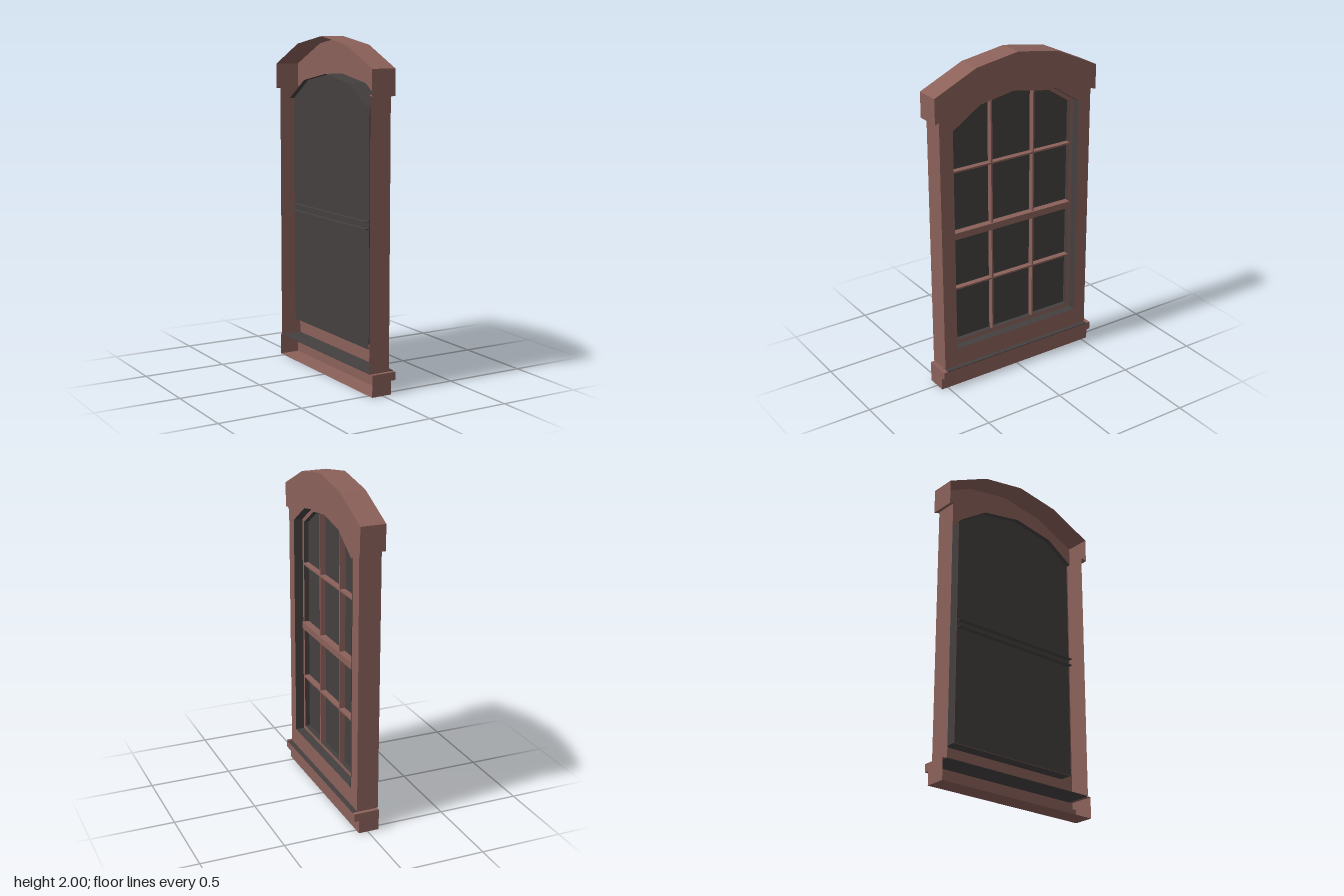
import * as THREE from 'three';

const brown = new THREE.MeshStandardMaterial({ color: 0x8b615a, side: THREE.DoubleSide, flatShading: true });
brown.name = 'brown painted wood';
const dark = new THREE.MeshStandardMaterial({ color: 0x454040, side: THREE.DoubleSide, flatShading: true });
dark.name = 'dark grey glass';

// Closed symmetric outline from the points of its +u half, listed bottom to top
const mirror = (half) => [
  ...half,
  ...half.filter(([u]) => u > 0).reverse().map(([u, y]) => [-u, y]),
];
const toVectors = (pts) => pts.map(([u, y]) => new THREE.Vector2(u, y));

export function createModel() {
  const model = new THREE.Group();

  const add = (name, geometry, material) => {
    const mesh = new THREE.Mesh(geometry, material);
    mesh.name = name;
    model.add(mesh);
    return mesh;
  };

  // Flat sheet facing +x, with optional hole
  const plate = (name, pts, x, material, hole) => {
    const shape = new THREE.Shape(toVectors(pts));
    if (hole) shape.holes.push(new THREE.Path(toVectors(hole)));
    add(name, new THREE.ShapeGeometry(shape).rotateY(Math.PI / 2).translate(x, 0, 0), material);
  };

  // Open strip following a (z, y) outline between two depths
  const strip = (name, pts, x0, x1, material) => {
    const pos = [];
    for (let i = 0; i + 1 < pts.length; i++) {
      const [z0, y0] = pts[i];
      const [z1, y1] = pts[i + 1];
      pos.push(x0, y0, z0, x1, y0, z0, x1, y1, z1, x0, y0, z0, x1, y1, z1, x0, y1, z1);
    }
    const g = new THREE.BufferGeometry();
    g.setAttribute('position', new THREE.Float32BufferAttribute(pos, 3));
    g.computeVertexNormals();
    add(name, g, material);
  };

  const bar = (name, x0, x1, y0, y1, z0, z1, material) => {
    const g = new THREE.BoxGeometry(x1 - x0, y1 - y0, z1 - z0);
    add(name, g.translate((x0 + x1) / 2, (y0 + y1) / 2, (z0 + z1) / 2), material);
  };

  const opening = mirror([[0.43, 0.245], [0.43, 1.625], [0.255, 1.74], [0, 1.785]]);
  const inner = mirror([[0.408, 0.268], [0.408, 1.61], [0.255, 1.71], [0, 1.755]]);

  // Casing: hollow shell, open at the back
  const casing = mirror([[0.515, 0.13], [0.515, 1.69], [0.27, 1.85], [0, 1.9]]);
  plate('casingFront', casing, 0.057, brown, opening);
  for (const s of [-1, 1]) {
    strip('casingSide', [[s * 0.515, 0.13], [s * 0.515, 1.69]], -0.075, 0.057, brown);
  }

  // Arched header
  const outerArch = [[0.545, 1.83], [0.275, 1.955], [0, 2], [-0.275, 1.955], [-0.545, 1.83]];
  const lowerArch = [[-0.545, 1.68], [-0.515, 1.69], [-0.43, 1.625], [-0.255, 1.74], [0, 1.785],
    [0.255, 1.74], [0.43, 1.625], [0.515, 1.69], [0.545, 1.68]];
  plate('headerFront', [...outerArch, ...lowerArch], 0.066, brown);
  strip('headerTop', [[0.515, 1.69], [0.545, 1.68], ...outerArch, [-0.545, 1.68], [-0.515, 1.69]],
    -0.085, 0.066, brown);

  // Reveal around the opening
  strip('openingReveal', [...opening, opening[0]], -0.02, 0.06, dark);
  strip('archLining', opening.slice(1, 6), -0.055, -0.02, dark);

  // Sash frame set back in the opening
  plate('sashFrame', opening, 0.005, brown, inner);
  strip('sashReveal', [...inner, inner[0]], -0.025, 0.005, dark);

  // Glass
  plate('glass', opening, -0.025, dark);

  // Glazing bars, meeting rail and the ledges behind it
  for (const z of [-0.145, 0.145]) {
    bar('verticalGlazingBar', -0.024, 0.01, 0.268, 1.725, z - 0.005, z + 0.005, brown);
  }
  for (const y of [0.615, 1.352]) {
    bar('horizontalGlazingBar', -0.024, 0.012, y - 0.005, y + 0.005, -0.408, 0.408, brown);
  }
  bar('meetingRail', -0.024, 0.02, 0.937, 0.978, -0.408, 0.408, brown);
  for (const y of [0.937, 0.978]) {
    bar('railLedge', -0.057, -0.024, y - 0.002, y + 0.002, -0.43, 0.43, dark);
  }

  // Stepped sill: ends, underside and front, open at the back
  const sill = [[-0.07, 0], [0.055, 0], [0.055, 0.08], [0.084, 0.08], [0.084, 0.128], [-0.07, 0.128]];
  for (const z of [-0.54, 0.54]) {
    const end = new THREE.ShapeGeometry(new THREE.Shape(toVectors(sill)));
    add('sillEnd', end.translate(0, 0, z), brown);
  }
  for (let i = 0; i < 5; i++) {
    const [x0, y0] = sill[i];
    const [x1, y1] = sill[i + 1];
    const face = new THREE.PlaneGeometry(Math.hypot(x1 - x0, y1 - y0), 1.08);
    face.rotateX(Math.PI / 2).rotateZ(Math.atan2(y1 - y0, x1 - x0));
    add('sillFace', face.translate((x0 + x1) / 2, (y0 + y1) / 2, 0), brown);
  }
  bar('sillTop', -0.07, 0.085, 0.127, 0.131, -0.514, 0.514, dark);

  return model;
}
